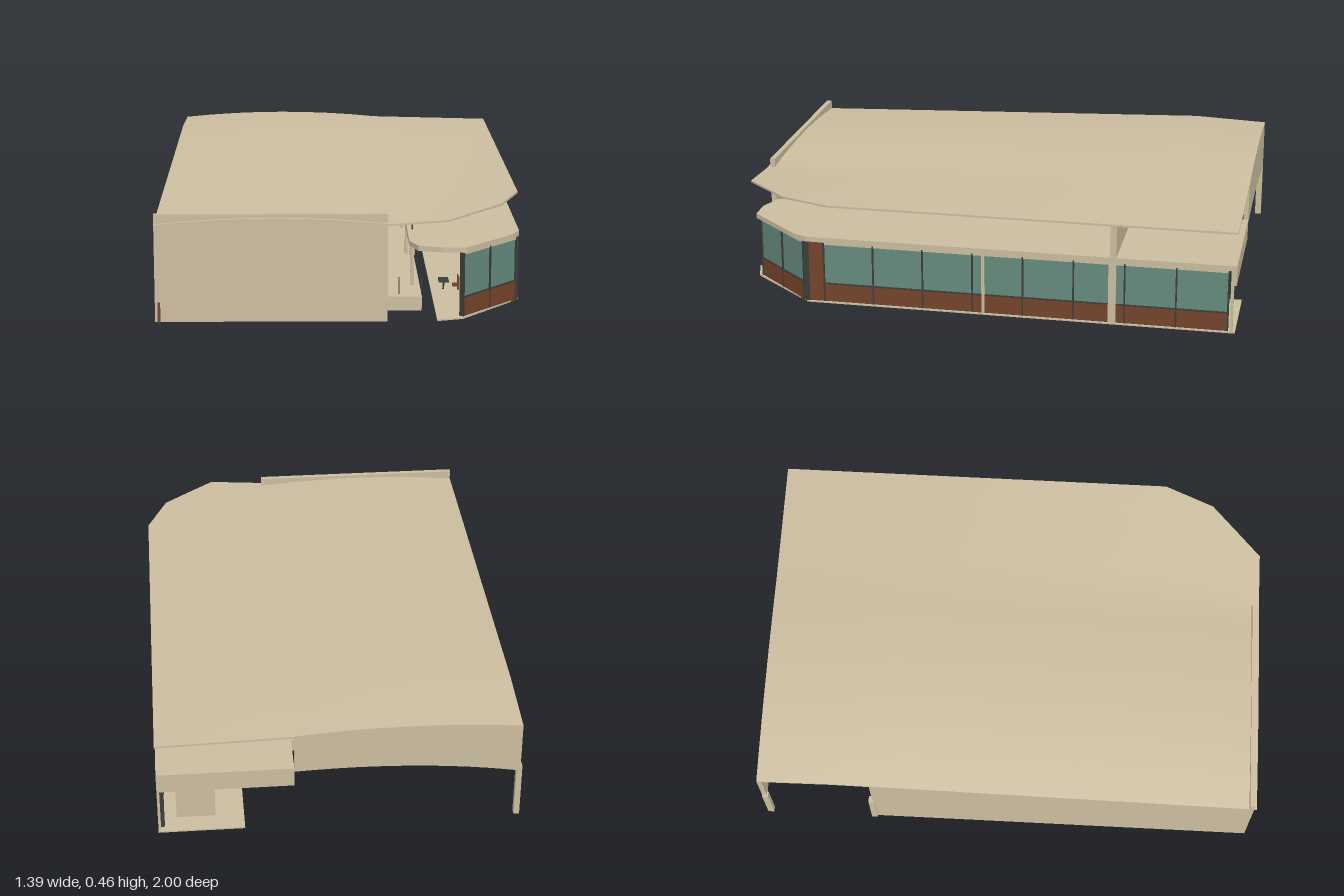
import * as THREE from 'three';

const mat = (name, color) => Object.assign(new THREE.MeshStandardMaterial({ color }), { name });
const stone = mat('sandPlaster', 0xcbbd9f);
const brown = mat('brownPanel', 0x74432a);
const glass = mat('greenGlass', 0x65897d);
const water = mat('poolWater', 0x3f9088);
const dark = mat('darkMetal', 0x3a3d38);
glass.side = THREE.DoubleSide;

const lerp = THREE.MathUtils.lerp;

// Height of the roof's upper surface
const slope = z => (z < -0.7 ? 0.04 * (z + 0.7) : -0.036 * (z + 0.7));
const arch = x => 0.457 - 0.119 * (x + 0.25) ** 2;
function roofY(x, z) {
  if (x <= 0.18) return arch(x) + slope(z);
  return lerp(arch(0.18) + slope(z), 0.41, (x - 0.18) / 0.51);
}
// Front limit of the roof with its cut corner
const roofFront = x => (x < 0.4 ? 1 : x < 0.61 ? lerp(1, 0.8, (x - 0.4) / 0.21) : lerp(0.8, 0.6, (x - 0.61) / 0.08));

export function createModel() {
  const model = new THREE.Group();
  model.name = 'poolHall';

  function add(name, geo, material, parent = model) {
    const m = new THREE.Mesh(geo, material);
    m.name = name;
    parent.add(m);
    return m;
  }
  function box(name, material, x0, x1, y0, y1, z0, z1, parent = model) {
    const m = add(name, new THREE.BoxGeometry(x1 - x0, y1 - y0, z1 - z0), material, parent);
    m.position.set((x0 + x1) / 2, (y0 + y1) / 2, (z0 + z1) / 2);
    return m;
  }
  function pole(name, material, r, x, y0, y1, z) {
    const m = add(name, new THREE.CylinderGeometry(r, r, y1 - y0, 10), material);
    m.position.set(x, (y0 + y1) / 2, z);
    return m;
  }
  // Horizontal plate from a plan outline of [x, z] points
  function plate(name, material, pts, y0, y1) {
    const shape = new THREE.Shape(pts.map(([x, z]) => new THREE.Vector2(x, -z)));
    const geo = new THREE.ExtrudeGeometry(shape, { depth: y1 - y0, bevelEnabled: false });
    geo.rotateX(-Math.PI / 2);
    return Object.assign(add(name, geo, material), { name }).position.setY(y0);
  }

  // Main roof: a thin slab bent over the arch, sloping to the front
  const xs = [-0.69, -0.58, -0.47, -0.36, -0.25, -0.14, -0.03, 0.08, 0.18, 0.29, 0.4, 0.5, 0.61, 0.65, 0.69];
  const rows = 8;
  const roof = new THREE.BoxGeometry(1, 1, 1, xs.length - 1, 1, rows);
  const p = roof.attributes.position;
  for (let i = 0; i < p.count; i++) {
    const x = xs[Math.round((p.getX(i) + 0.5) * (xs.length - 1))];
    const r = Math.round((p.getZ(i) + 0.5) * rows);
    const z = r === 0 ? -1 : lerp(-0.7, roofFront(x), (r - 1) / (rows - 1));
    p.setXYZ(i, x, roofY(x, z) - (p.getY(i) > 0 ? 0 : 0.008), z);
  }
  roof.computeVertexNormals();
  add('mainRoof', roof, stone);

  // Front wall with parapet
  box('frontWall', stone, -0.69, 0.175, 0, 0.41, 0.97, 0.99);
  box('frontWallPost', brown, -0.68, -0.67, 0, 0.075, 0.985, 0.995);

  // Long side wall following the roof slope
  const side = new THREE.Shape();
  side.moveTo(-0.55, 0);
  side.lineTo(0.98, 0);
  side.lineTo(0.98, roofY(-0.69, 0.98) - 0.004);
  side.lineTo(-0.55, roofY(-0.69, -0.55) - 0.004);
  const sideGeo = new THREE.ExtrudeGeometry(side, { depth: 0.02, bevelEnabled: false });
  sideGeo.rotateY(-Math.PI / 2);
  add('sideWall', sideGeo, stone).position.x = -0.67;
  box('sideWallSkirting', brown, -0.67, -0.662, 0, 0.055, -0.54, 0.97);
  box('sideWallEndPost', stone, -0.697, -0.67, 0, 0.22, -0.565, -0.54);

  // Arched windows along the inside of the side wall
  for (const z of [0.8, 0.43, 0.06, -0.31]) {
    const frame = add('archFrame', new THREE.TorusGeometry(0.11, 0.005, 6, 24, Math.PI), stone);
    frame.rotation.y = Math.PI / 2;
    frame.position.set(-0.667, 0.21, z);
    const pane = new THREE.Shape();
    pane.moveTo(-0.08, 0.06);
    pane.lineTo(0.08, 0.06);
    pane.lineTo(0.08, 0.19);
    pane.absarc(0, 0.19, 0.08, 0, Math.PI);
    const win = add('archWindow', new THREE.ShapeGeometry(pane, 16), glass);
    win.rotation.y = Math.PI / 2;
    win.position.set(-0.667, 0, z);
  }

  // Back fascia under the arch, and its corner post
  const fascia = new THREE.Shape();
  fascia.moveTo(-0.69, 0.21);
  fascia.quadraticCurveTo(-0.3, 0.285, 0.17, 0.26);
  for (let i = 0; i <= 12; i++) {
    const x = lerp(0.17, -0.69, i / 12);
    fascia.lineTo(x, roofY(x, -1) - 0.004);
  }
  add('backFascia', new THREE.ExtrudeGeometry(fascia, { depth: 0.02, bevelEnabled: false }), stone).position.z = -1;
  box('backCornerPost', stone, -0.697, -0.675, 0, 0.23, -1, -0.975);
  box('lowBackFascia', stone, 0.17, 0.69, 0.195, 0.275, -1, -0.98);

  // Wall between the low roof and the main roof, with its column
  box('upperCrossWall', stone, 0.17, 0.685, 0.27, 0.405, -0.54, -0.515);
  box('crossWallColumn', stone, 0.665, 0.688, 0, 0.28, -0.54, -0.51);

  // Low flat roof and the floor under it
  plate('lowRoof', stone, [[0.17, -1], [0.69, -1], [0.69, 0.69], [0.66, 0.75], [0.47, 0.96], [0.38, 0.96],
    [0.29, 0.93], [0.26, 0.85], [0.26, -0.5], [0.17, -0.5]], 0.255, 0.275);
  plate('floorSlab', stone, [[0.36, -1], [0.69, -1], [0.69, 0.69], [0.46, 0.96], [0.36, 0.99]], 0, 0.006);
  box('floorPanelBack', brown, 0.45, 0.49, -0.002, 0.004, -0.89, -0.57);
  box('floorPanelFront', brown, 0.39, 0.43, -0.002, 0.004, 0.4, 0.72);

  // Glazed facade run between two plan points, cut into equal bays
  function facade(name, [x0, z0], [x1, z1], bays) {
    const g = new THREE.Group();
    g.name = name;
    const len = Math.hypot(x1 - x0, z1 - z0);
    g.position.set(x0, 0, z0);
    g.rotation.y = -Math.atan2(z1 - z0, x1 - x0);
    model.add(g);
    box('lowerPanel', brown, 0, len, 0, 0.08, -0.008, 0.008, g);
    box('glazing', glass, 0, len, 0.08, 0.245, -0.004, 0.004, g);
    box('sill', dark, 0, len, 0.078, 0.083, -0.009, 0.009, g);
    box('topRail', stone, 0, len, 0.243, 0.257, -0.008, 0.008, g);
    for (let i = 0; i <= bays; i++) {
      const u = (i / bays) * len;
      box('mullion', dark, u - 0.003, u + 0.003, 0, 0.25, -0.01, 0.01, g);
    }
  }
  facade('cornerFacade', [0.455, 0.94], [0.672, 0.7], 2);
  facade('sideFacade', [0.675, 0.62], [0.675, -0.97], 8);
  box('sideDoor', brown, 0.668, 0.684, 0, 0.25, 0.62, 0.68);
  box('doorFrame', dark, 0.665, 0.687, 0, 0.25, 0.68, 0.7);
  for (const z of [-0.02, -0.985]) box('facadeColumn', stone, 0.68, 0.69, 0, 0.26, z - 0.006, z + 0.006);

  // Pool with its raised deck
  box('pool', water, -0.662, 0.1, 0, 0.04, -0.46, 0.84);
  box('poolDeckSide', stone, 0.1, 0.31, 0, 0.055, -0.53, 0.84);
  box('poolDeckFront', stone, -0.662, 0.17, 0, 0.055, 0.84, 0.97);
  box('poolDeckBack', stone, -0.662, 0.1, 0, 0.055, -0.53, -0.46);
  for (const x of [0.225, 0.31]) box('railPost', dark, x - 0.002, x + 0.002, 0.055, 0.12, 0.8, 0.804);

  // Columns carrying the low roof, masts and hanging lamps
  for (const z of [0.67, 0.17, -0.3]) {
    pole('deckColumn', stone, 0.006, 0.28, 0.055, 0.26, z);
    pole('columnCollar', stone, 0.011, 0.28, 0.175, 0.205, z);
    pole('mast', dark, 0.003, 0.28, 0.27, 0.35, z);
    pole('lampRod', dark, 0.002, -0.2, 0.29, roofY(-0.2, z) - 0.005, z + 0.035);
    pole('lampShade', stone, 0.018, -0.2, 0.282, 0.292, z + 0.035);
  }

  // Furniture inside the low wing
  box('serviceBlock', stone, 0.47, 0.62, 0, 0.19, -0.92, -0.82);
  box('bench', water, 0.48, 0.6, 0.006, 0.06, -0.72, -0.64);
  pole('tableLeg', dark, 0.004, 0.41, 0.006, 0.042, 0.55);
  box('tableTop', dark, 0.39, 0.43, 0.04, 0.046, 0.52, 0.58);
  box('chairSeat', brown, 0.445, 0.47, 0.02, 0.026, 0.53, 0.57);
  box('chairBack', brown, 0.465, 0.47, 0.006, 0.06, 0.53, 0.57);

  return model;
}
